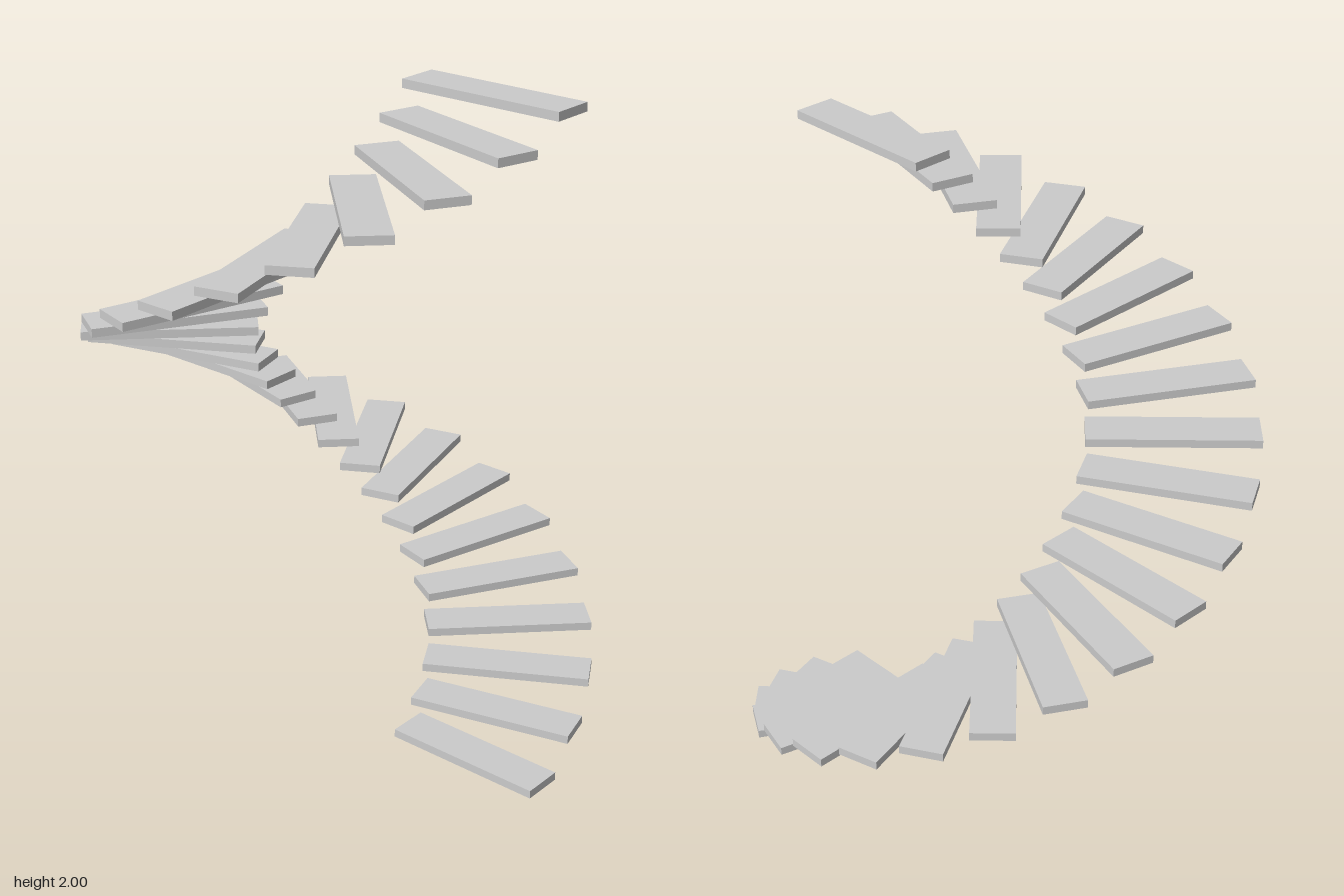
import * as THREE from 'three';

// Spiral staircase: 25 floating treads making one full turn
export function createModel() {
  const group = new THREE.Group();
  group.name = 'spiralStaircase';

  const steps = 25;
  const rise = 2 / 24.3;
  const width = rise * 1.5, thickness = rise * 0.3, length = rise * 6;
  const centreRadius = rise * 6;

  const material = new THREE.MeshStandardMaterial({ color: 0xcccccc, flatShading: true });
  const treadGeometry = new THREE.BoxGeometry(width, thickness, length);

  // Each tread points outward and turns from the front towards +x as it climbs
  for (let i = 0; i < steps; i++) {
    const angle = (i / (steps - 1)) * Math.PI * 2;
    const tread = new THREE.Mesh(treadGeometry, material);
    tread.name = `tread${i + 1}`;
    tread.position.set(
      Math.sin(angle) * centreRadius,
      thickness / 2 + i * rise,
      Math.cos(angle) * centreRadius
    );
    tread.rotation.y = angle;
    group.add(tread);
  }
  return group;
}
